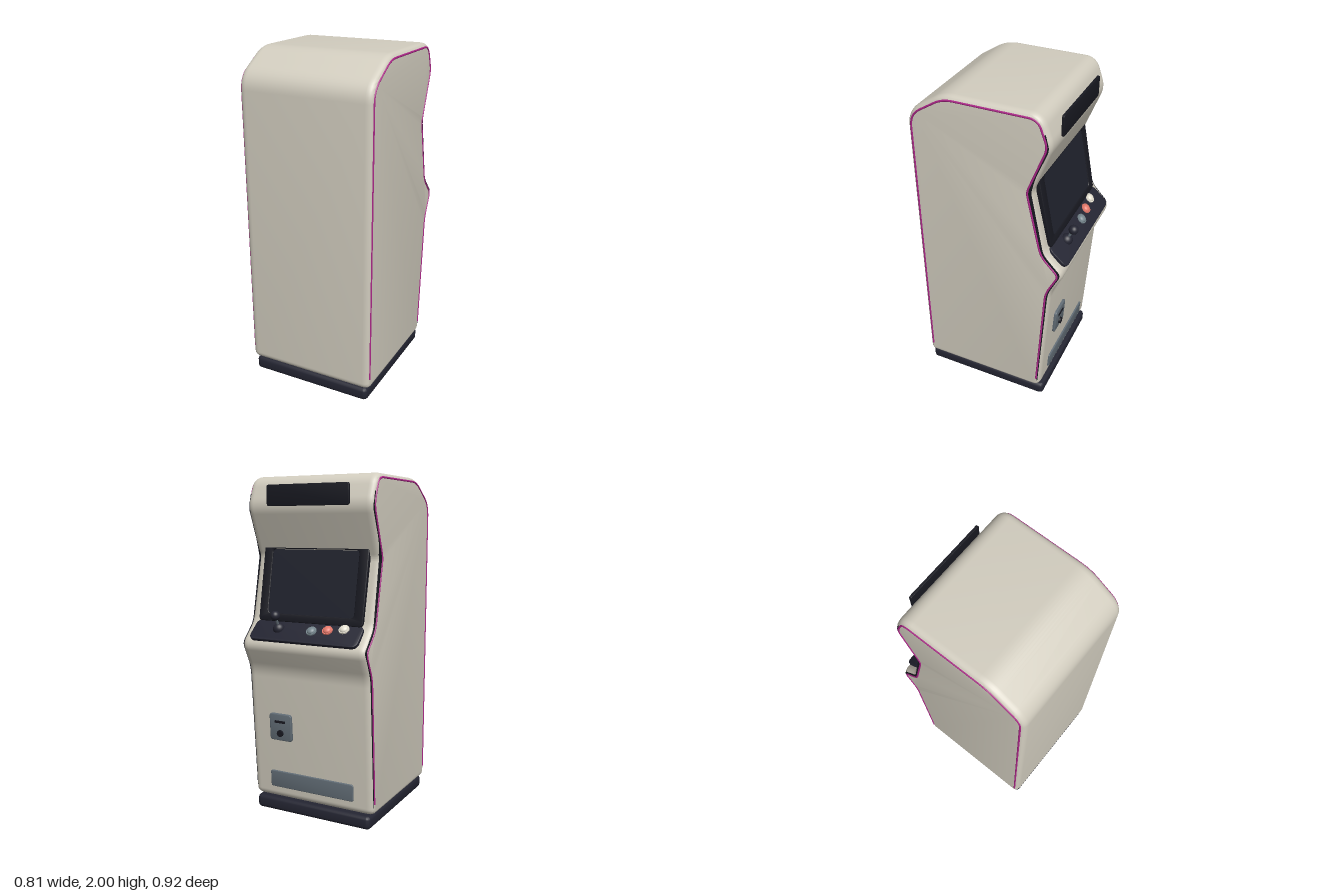
import * as THREE from 'three';
import { toCreasedNormals } from 'three/addons/utils/BufferGeometryUtils.js';

const mat = (name, color) => {
  const m = new THREE.MeshStandardMaterial({ color });
  m.name = name;
  return m;
};

// Outline of the flat side panel as [z, y, corner radius], starting at the lower player-side corner
const OUTLINE = [
  [-0.312, 0.105, 0.02], [-0.36, 0.89, 0.05], [-0.433, 1.04, 0.03], [-0.325, 1.15, 0.05],
  [-0.238, 1.545, 0.03], [-0.348, 1.83, 0.04], [-0.295, 1.975, 0.05],
  [0.23, 1.975, 0.06], [0.43, 1.85, 0.07], [0.43, 0.105, 0.02],
];

// Traces points with rounded corners into a Shape or Path
function trace(path, pts, closed) {
  const n = pts.length;
  pts.forEach(([x, y, r = 0], i) => {
    if (!closed && (i === 0 || i === n - 1)) {
      i === 0 ? path.moveTo(x, y) : path.lineTo(x, y);
      return;
    }
    const p = new THREE.Vector2(x, y);
    const toward = (q) => new THREE.Vector2(q[0], q[1]).sub(p).normalize().multiplyScalar(r).add(p);
    const a = toward(pts[(i + n - 1) % n]), b = toward(pts[(i + 1) % n]);
    i === 0 ? path.moveTo(a.x, a.y) : path.lineTo(a.x, a.y);
    if (r) path.quadraticCurveTo(x, y, b.x, b.y);
  });
  if (closed) path.closePath();
  return path;
}

const roundedRect = (w, h, r, path = new THREE.Shape()) =>
  trace(path, [[-w / 2, -h / 2, r], [w / 2, -h / 2, r], [w / 2, h / 2, r], [-w / 2, h / 2, r]], true);

// Extrudes a shape, centred on its depth, with rounded edges inside the total depth
function slab(shape, depth, bevel = 0, thick = bevel, segs = 3) {
  const g = new THREE.ExtrudeGeometry(shape, {
    depth: depth - 2 * thick, bevelEnabled: bevel > 0, bevelSize: bevel, bevelThickness: thick,
    bevelSegments: segs, curveSegments: 8,
  });
  g.translate(0, 0, -(depth - 2 * thick) / 2);
  return toCreasedNormals(g, 0.65);
}

export function createModel() {
  const model = new THREE.Group();
  model.name = 'arcadeCabinet';
  const beige = mat('warm beige', 0xd2cdbf);
  const dark = mat('dark navy', 0x242532);
  const black = mat('near black', 0x181921);
  const glass = mat('dark glass', 0x20222d);
  const pink = mat('magenta trim', 0xb0288c);
  const steel = mat('blue grey steel', 0x636e77);
  const coral = mat('coral', 0xe4786a);
  const blueGrey = mat('button grey', 0x75858c);
  const cream = mat('cream', 0xe4dfd0);

  const add = (parent, name, geo, material, x = 0, y = 0, z = 0) => {
    const m = new THREE.Mesh(geo, material);
    m.name = name;
    m.position.set(x, y, z);
    parent.add(m);
    return m;
  };
  // Group on a sloping face: local +y runs up the slope, local -z points outward
  const face = (name, x, y, z, tilt) => {
    const g = new THREE.Group();
    g.name = name;
    g.position.set(x, y, z);
    g.rotation.x = tilt;
    model.add(g);
    return g;
  };

  // Cabinet body, a side profile swept across the width
  const body = slab(trace(new THREE.Shape(), OUTLINE, true), 0.8, 0.025, 0.04, 5);
  add(model, 'cabinetBody', body.rotateY(-Math.PI / 2), beige);

  // Plinth
  const base = slab(roundedRect(0.745, 0.76, 0.01), 0.078, 0.02, 0.02).rotateX(Math.PI / 2);
  add(model, 'plinth', base, dark, 0, 0.039, 0.047).scale.x = 0.77 / 0.785;

  // Dark edging and magenta trim on both sides
  const edging = trace(new THREE.Shape(), [
    [-0.323, 0.13], [-0.372, 0.89, 0.05], [-0.446, 1.045, 0.03], [-0.338, 1.158, 0.04],
    [-0.258, 1.54, 0.02], [-0.285, 1.64, 0.03], [-0.357, 1.82, 0.03], [-0.335, 1.9],
    [-0.325, 1.9], [-0.338, 1.83, 0.04], [-0.228, 1.545, 0.03], [-0.313, 1.145, 0.05],
    [-0.42, 1.04, 0.03], [-0.35, 0.89, 0.05], [-0.306, 0.13],
  ], true);
  const edgingGeo = slab(edging, 0.016).rotateY(-Math.PI / 2);
  const linePts = OUTLINE.map((p) => [...p]);
  linePts[0][0] = -0.315;
  linePts[0][1] = linePts[9][1] = 0.15;
  const line = trace(new THREE.Path(), linePts, false).getPoints(8);
  const path3 = new THREE.CurvePath();
  for (let i = 1; i < line.length; i++) {
    const v = (p) => new THREE.Vector3(0, p.y, p.x);
    if (line[i].distanceTo(line[i - 1]) > 1e-4) path3.add(new THREE.LineCurve3(v(line[i - 1]), v(line[i])));
  }
  const trimGeo = new THREE.TubeGeometry(path3, 260, 0.006, 6, false);
  for (const s of [1, -1]) {
    const side = s > 0 ? 'left' : 'right';
    add(model, side + 'Edging', edgingGeo, black, s * 0.391);
    add(model, side + 'Trim', trimGeo, pink, s * 0.399);
  }

  // Marquee
  const marquee = face('marquee', 0, 1.888, -0.37, 0);
  add(marquee, 'marqueePanel', slab(roundedRect(0.52, 0.115, 0.012), 0.014, 0.002), black);

  // Screen with its surround
  const screen = face('screen', 0, 1.4, -0.303, 0.187);
  const frame = roundedRect(0.67, 0.46, 0.02);
  frame.holes.push(roundedRect(0.57, 0.385, 0.03, new THREE.Path()));
  add(screen, 'screenFrame', slab(frame, 0.034, 0.004), black);
  add(screen, 'screenGlass', slab(roundedRect(0.59, 0.4, 0.03), 0.024), glass);

  // Control panel with buttons
  const panel = face('controlPanel', 0, 1.12, -0.4, Math.atan2(0.1, 0.09));
  add(panel, 'controlPlate', slab(roundedRect(0.69, 0.14, 0.035), 0.022, 0.005), dark);
  const rim = new THREE.CylinderGeometry(0.03, 0.032, 0.01, 24).rotateX(-Math.PI / 2);
  const cap = new THREE.SphereGeometry(0.025, 24, 8, 0, Math.PI * 2, 0, Math.PI / 2)
    .scale(1, 0.65, 1).rotateX(-Math.PI / 2);
  [[-0.04, 0.01, blueGrey], [-0.137, 0.024, coral], [-0.235, 0.04, cream]].forEach(([x, y, m], i) => {
    add(panel, 'buttonRim' + (i + 1), rim, m, x, y, -0.014);
    add(panel, 'button' + (i + 1), cap, m, x, y, -0.017);
  });

  // Joystick
  const stick = face('joystick', 0.18, 1.135, -0.393, -0.44);
  add(stick, 'joystickBoot', new THREE.SphereGeometry(0.035, 24, 16), dark);
  add(stick, 'joystickShaft', new THREE.CylinderGeometry(0.008, 0.008, 0.08, 12), steel, 0, 0.045);
  add(stick, 'joystickBall', new THREE.SphereGeometry(0.028, 24, 16), dark, 0, 0.088);

  // Coin door and kick plate on the lower face
  const slope = -0.058;
  const door = face('coinDoor', 0.19, 0.54, -0.369, slope);
  add(door, 'coinPlate', slab(roundedRect(0.14, 0.155, 0.014), 0.02, 0.005), steel);
  add(door, 'coinSlot', new THREE.BoxGeometry(0.07, 0.014, 0.006), black, 0, 0.035, -0.012);
  add(door, 'coinReturn', new THREE.CylinderGeometry(0.02, 0.02, 0.014, 20).rotateX(Math.PI / 2),
    black, 0, -0.035, -0.015);
  const kick = face('kickPlate', 0, 0.205, -0.345, slope);
  add(kick, 'kickPanel', slab(roundedRect(0.55, 0.095, 0.008), 0.016, 0.004), steel);

  return model;
}
